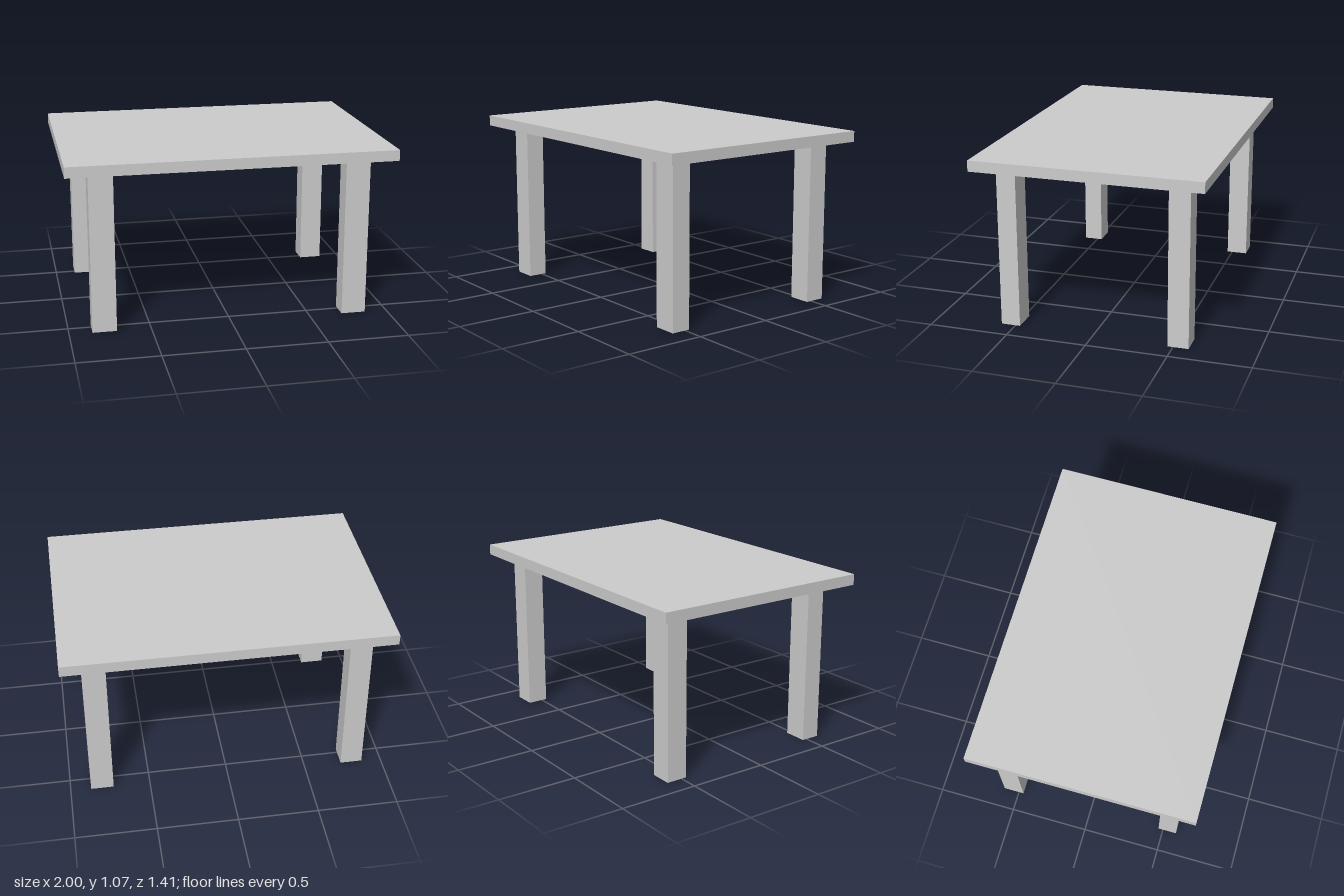
import * as THREE from 'three';

const TOP = 1.074, UNDER = 1.007;

export function createModel() {
  const group = new THREE.Group();
  const material = new THREE.MeshStandardMaterial({ color: 0xcccccc, flatShading: true });

  // Box given by its limits on each axis
  const addBox = (name, [x0, x1], [y0, y1], [z0, z1]) => {
    const mesh = new THREE.Mesh(new THREE.BoxGeometry(x1 - x0, y1 - y0, z1 - z0), material);
    mesh.position.set((x0 + x1) / 2, (y0 + y1) / 2, (z0 + z1) / 2);
    mesh.name = name;
    group.add(mesh);
  };

  addBox('tableTop', [-1, 1], [UNDER, TOP], [-0.705, 0.705]);

  // Four legs, slightly uneven in placement
  const legs = {
    frontLeftLeg: [[0.708, 0.86], [0.47, 0.59]],
    frontRightLeg: [[-0.859, -0.71], [0.47, 0.59]],
    backLeftLeg: [[0.73, 0.872], [-0.595, -0.466]],
    backRightLeg: [[-0.876, -0.738], [-0.6, -0.468]],
  };
  for (const [name, [x, z]] of Object.entries(legs)) addBox(name, x, [0, UNDER], z);

  return group;
}
